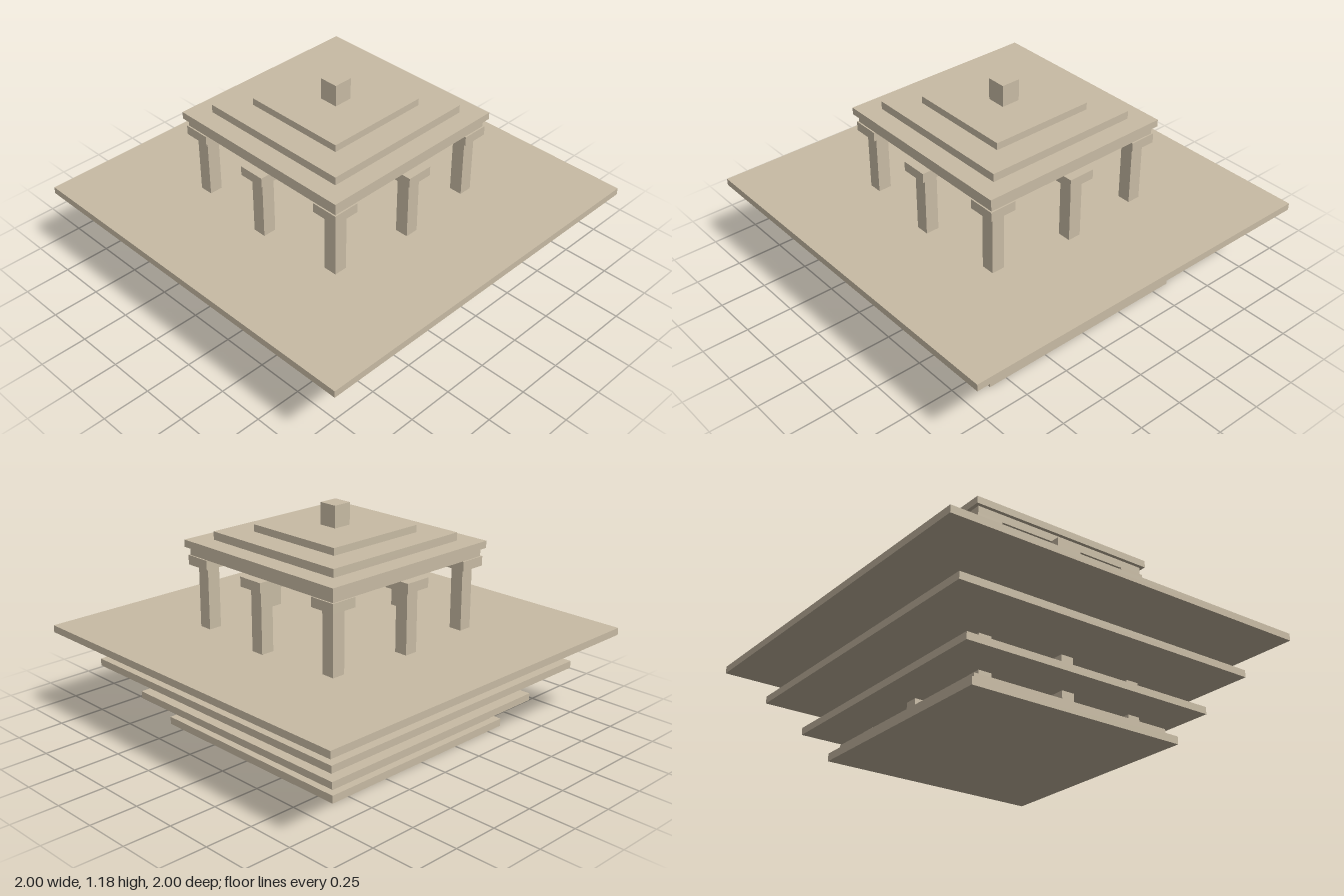
import * as THREE from 'three';

export function createModel() {
  const model = new THREE.Group();
  const stone = new THREE.MeshStandardMaterial({ color: 0xc9bca5 });
  stone.name = 'sandstone';

  // Box given by its bottom, top, footprint and centre
  const block = (name, y0, y1, w, d = w, x = 0, z = 0) => {
    const mesh = new THREE.Mesh(new THREE.BoxGeometry(w, y1 - y0, d), stone);
    mesh.name = name;
    mesh.position.set(x, (y0 + y1) / 2, z);
    model.add(mesh);
  };

  // Square slabs: [name, bottom, top, width]
  [
    ['basePlinth', 0, 0.04, 1.2],
    ['upperPlinth', 0.04, 0.08, 1.12],
    ['lowerTerrace', 0.145, 0.182, 1.4],
    ['middleTerrace', 0.324, 0.361, 1.68],
    ['upperTerrace', 0.503, 0.54, 2],
    ['roofBeam', 0.913, 0.954, 1.005],
    ['roofEaves', 0.954, 0.991, 1.044],
    ['roofMiddleTier', 0.991, 1.033, 0.84],
    ['roofTopTier', 1.033, 1.07, 0.56],
    ['finial', 1.07, 1.183, 0.1],
  ].forEach(([name, y0, y1, w]) => block(name, y0, y1, w));

  // Eight pillars with capitals, the middle ones standing slightly further out
  for (const i of [-1, 0, 1]) {
    for (const j of [-1, 0, 1]) {
      if (i === 0 && j === 0) continue;
      const reach = i * j === 0 ? 0.48 : 0.44;
      block('pillar', 0.08, 0.864, 0.07, 0.07, i * reach, j * reach);
      block('capital', 0.864, 0.913, 0.14, 0.14, i * reach, j * reach);
    }
  }

  // Staircase rising towards the back
  const rise = (0.503 - 0.182) / 8;
  for (let i = 0; i < 8; i++) {
    const y = 0.182 + i * rise;
    block('stairStep', y, y + rise, 0.48, 0.09, 0, -0.225 - i * 0.09);
  }

  return model;
}
